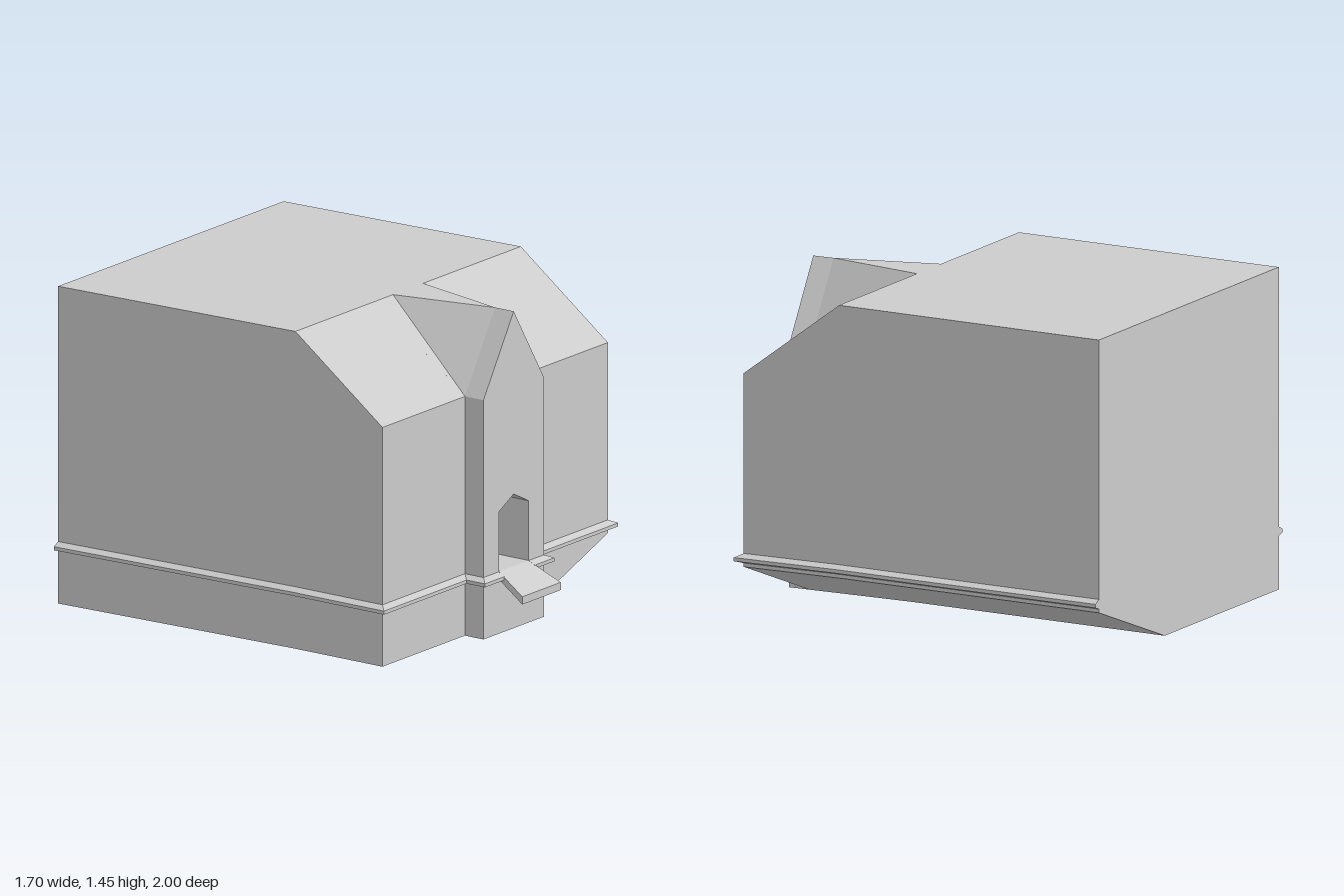
import * as THREE from 'three';

const mat = new THREE.MeshStandardMaterial({ color: 0xcccccc, flatShading: true, side: THREE.DoubleSide });

// The rear of the building sinks gently towards the back
function sag(geo) {
  const p = geo.attributes.position;
  for (let i = 0; i < p.count; i++) {
    const t = Math.max(0, (0.28 - p.getZ(i)) / 1.28);
    p.setY(i, p.getY(i) - 0.018 * t);
  }
  geo.computeVertexNormals();
  return geo;
}

const shapeOf = pts => new THREE.Shape(pts.map(([a, b]) => new THREE.Vector2(a, b)));

// Outline in x,y drawn out along z
function alongZ(shape, z0, z1, steps = 1) {
  return new THREE.ExtrudeGeometry(shape, { depth: z1 - z0, bevelEnabled: false, steps }).translate(0, 0, z0);
}

// Outline in z,y drawn out along x
function alongX(shape, x0, x1) {
  return new THREE.ExtrudeGeometry(shape, { depth: x1 - x0, bevelEnabled: false })
    .rotateY(-Math.PI / 2).translate(x1, 0, 0);
}

function fromTriangles(positions, index) {
  const g = new THREE.BufferGeometry();
  g.setAttribute('position', new THREE.Float32BufferAttribute(positions, 3));
  g.setIndex(index);
  const flat = g.toNonIndexed();
  flat.computeVertexNormals();
  return flat;
}

// Moulding swept along one half of the wall line; each stop is x, z and its outward direction
function moulding(side) {
  const stops = [
    [0.11, 0.85, 0, 1], [0.22, 0.85, 1, 1], [0.22, 0.75, 1, 1],
    [0.82, 0.75, 1, 1], [0.82, 0.28, 1, 0], [0.82, -1, 1, 0],
  ];
  const profile = [[-0.005, 0.255], [0.032, 0.268], [0.032, 0.284], [-0.005, 0.302]];
  const pos = [], idx = [], n = profile.length;
  const tri = (a, b, c) => (side > 0 ? idx.push(a, b, c) : idx.push(a, c, b));
  for (const [x, z, ox, oz] of stops)
    for (const [out, y] of profile) pos.push(side * (x + ox * out), y, z + oz * out);
  for (let i = 0; i < stops.length - 1; i++)
    for (let j = 0; j < n; j++) {
      const a = i * n + j, b = i * n + (j + 1) % n;
      tri(a, a + n, b);
      tri(b, a + n, b + n);
    }
  const e = (stops.length - 1) * n;
  tri(0, 1, 2); tri(0, 2, 3);
  tri(e, e + 2, e + 1); tri(e, e + 3, e + 2);
  return sag(fromTriangles(pos, idx));
}

// Roof surface blending the porch gable into the front roof slope
function gableRoof() {
  const pos = [], idx = [];
  const xs = [-0.22, -0.11, 0, 0.11, 0.22];
  for (const x of xs) pos.push(x, 1.452, 0.28);
  for (const x of xs) pos.push(x, 1.45 - 0.35 * Math.abs(x) / 0.22, 0.75);
  for (let i = 0; i < 4; i++) {
    const a = i, b = i + 1, c = i + 6, d = i + 5;
    if (i < 2) idx.push(a, d, b, b, d, c);
    else idx.push(a, d, c, a, c, b);
  }
  // inner right and left panels fold along the opposite diagonal
  idx.splice(6, 6, 1, 6, 7, 1, 7, 2);
  idx.splice(12, 6, 2, 7, 3, 3, 7, 8);
  return fromTriangles(pos, idx);
}

export function createModel() {
  const model = new THREE.Group();
  const add = (name, geo) => {
    const mesh = new THREE.Mesh(geo, mat);
    mesh.name = name;
    model.add(mesh);
  };

  // Foundation, cut away diagonally under the left side
  add('foundation', sag(alongZ(
    shapeOf([[-0.82, 0.02], [0.22, 0.02], [0.82, 0.24], [0.82, 0.28], [-0.82, 0.28]]), -1, 0.75, 7)));

  // Hall with flat top and sloping front roof; the middle stops short behind the doorway
  const side = shapeOf([[-1, 0.27], [0.75, 0.27], [0.75, 1.1], [0.28, 1.452], [-1, 1.452]]);
  const middle = shapeOf([[-1, 0.27], [0.69, 0.27], [0.69, 1.145], [0.28, 1.452], [-1, 1.452]]);
  add('hallRight', sag(alongX(side, -0.82, -0.22)));
  add('hallMiddle', sag(alongX(middle, -0.22, 0.22)));
  add('hallLeft', sag(alongX(side, 0.22, 0.82)));

  // Gabled porch with a pointed doorway
  const porch = shapeOf([[-0.22, 0.02], [0.22, 0.02], [0.22, 1.1], [0, 1.45], [-0.22, 1.1]]);
  porch.holes.push(new THREE.Path(
    [[-0.108, 0.3], [-0.108, 0.57], [0, 0.625], [0.108, 0.57], [0.108, 0.3]].map(([x, y]) => new THREE.Vector2(x, y))));
  add('porch', alongZ(porch, 0.69, 0.85));
  add('gableRoof', gableRoof());

  // Moulding around the walls, broken at the doorway
  add('mouldingLeft', moulding(1));
  add('mouldingRight', moulding(-1));

  // Ramp that widens towards its foot
  const ramp = alongX(shapeOf([[0.85, 0.265], [1, 0.185], [1, 0.22], [0.85, 0.3]]), -1, 1);
  const p = ramp.attributes.position;
  for (let i = 0; i < p.count; i++)
    p.setX(i, p.getX(i) * (0.108 + 0.032 * (p.getZ(i) - 0.85) / 0.15));
  ramp.computeVertexNormals();
  add('doorRamp', ramp);

  return model;
}
